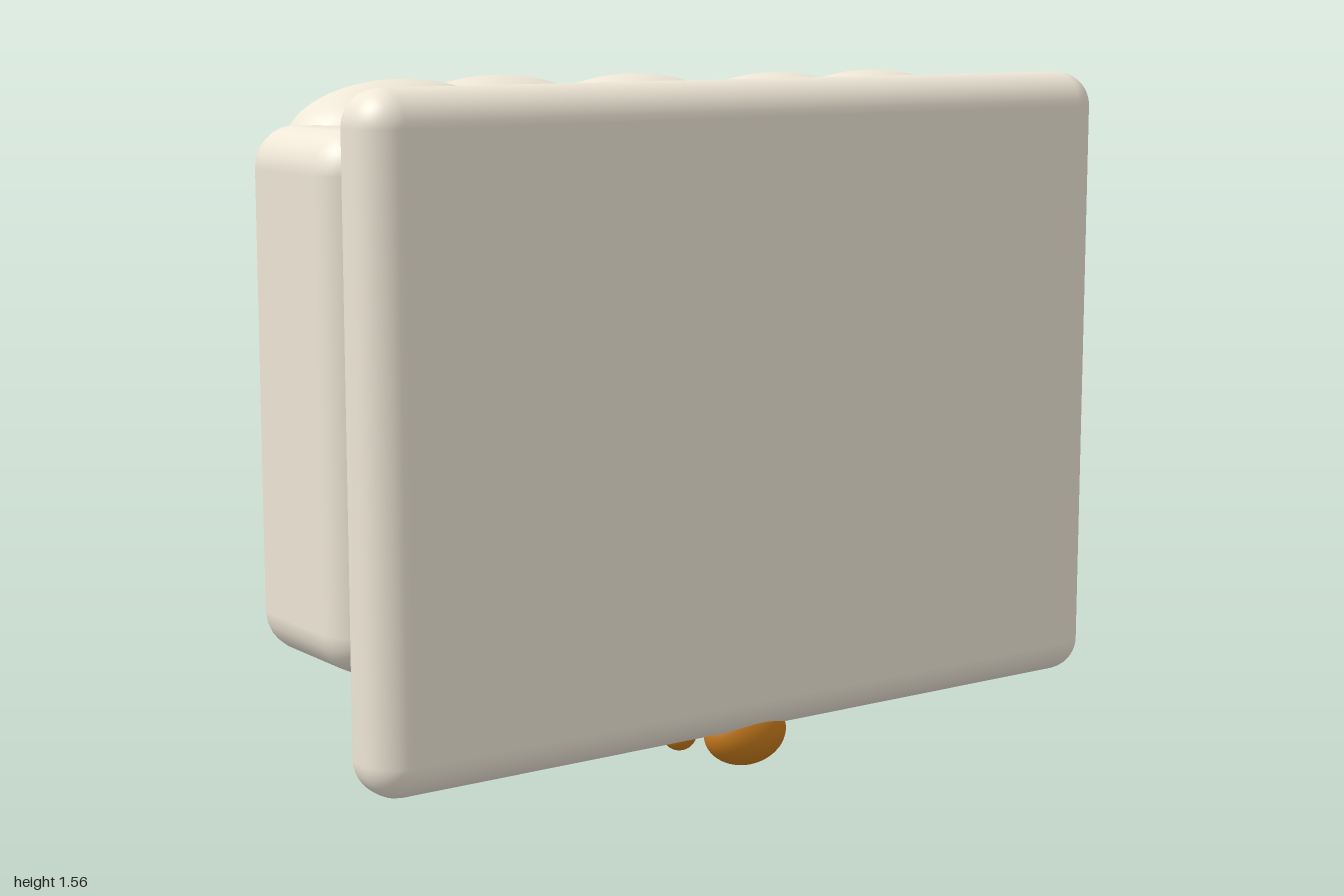
import * as THREE from 'three';
import { RoundedBoxGeometry } from 'three/addons/geometries/RoundedBoxGeometry.js';

const paint = (color) => new THREE.MeshStandardMaterial({ color });

export function createModel() {
  const model = new THREE.Group();
  const cream = paint(0xeee6d6);
  const red = paint(0xe8646e);
  const green = paint(0x62b795);
  const orange = paint(0xc67a1c);

  const add = (name, geometry, material) => {
    const mesh = new THREE.Mesh(geometry, material);
    mesh.name = name;
    model.add(mesh);
    return mesh;
  };

  // Rounded block given by its low and high corner
  const block = (name, lo, hi, radius, segments, material) => {
    const size = hi.map((v, i) => v - lo[i]);
    const mesh = add(name, new RoundedBoxGeometry(...size, segments, radius), material);
    mesh.position.set(...hi.map((v, i) => (v + lo[i]) / 2));
  };

  // Sphere stretched to three radii
  const ball = (name, center, radii, material) => {
    const mesh = add(name, new THREE.SphereGeometry(1, 40, 28), material);
    mesh.position.set(...center);
    mesh.scale.set(...radii);
  };

  // Large base panel, thin backing board, cushion and bolster
  block('basePanel', [-1, 0.09, 0.22], [1, 1.56, 0.4], 0.08, 5, cream);
  block('backingBoard', [-0.88, 0.22, 0.17], [0.88, 1.43, 0.21], 0.019, 3, orange);
  block('seatCushion', [-0.845, 0.245, 0.08], [0.845, 1.42, 0.225], 0.07, 5, green);
  block('bolster', [-0.85, 1.265, -0.255], [0.85, 1.52, 0.225], 0.11, 4, red);

  // Padded arms and cushion buttons
  for (const side of [1, -1]) {
    const x = [0.745 * side, 0.98 * side].sort((a, b) => a - b);
    const label = side > 0 ? 'left' : 'right';
    block(label + 'Arm', [x[0], 0.31, -0.215], [x[1], 1.47, 0.215], 0.095, 3, cream);
    ball(label + 'Button', [0.36 * side, 0.78, 0.078], [0.028, 0.028, 0.014], cream);
  }

  // Row of puffy pillows along the bolster
  const pillows = [[-0.64, -0.1, 0.19], [-0.32, -0.215, 0.19], [0, -0.13, 0.2], [0.32, 0, 0.2], [0.64, -0.035, 0.195]];
  pillows.forEach(([x, z, depth], i) =>
    ball('pillow' + (i + 1), [x, 1.42, z], [0.275, 0.142, depth], cream));

  // Paw: one pad and four toes
  ball('pawPad', [0, 0.077, 0.31], [0.105, 0.077, 0.072], orange);
  for (const side of [1, -1]) {
    ball('outerToe', [0.115 * side, 0.07, 0.212], [0.041, 0.041, 0.041], orange);
    ball('innerToe', [0.045 * side, 0.07, 0.143], [0.041, 0.041, 0.041], orange);
  }

  return model;
}
